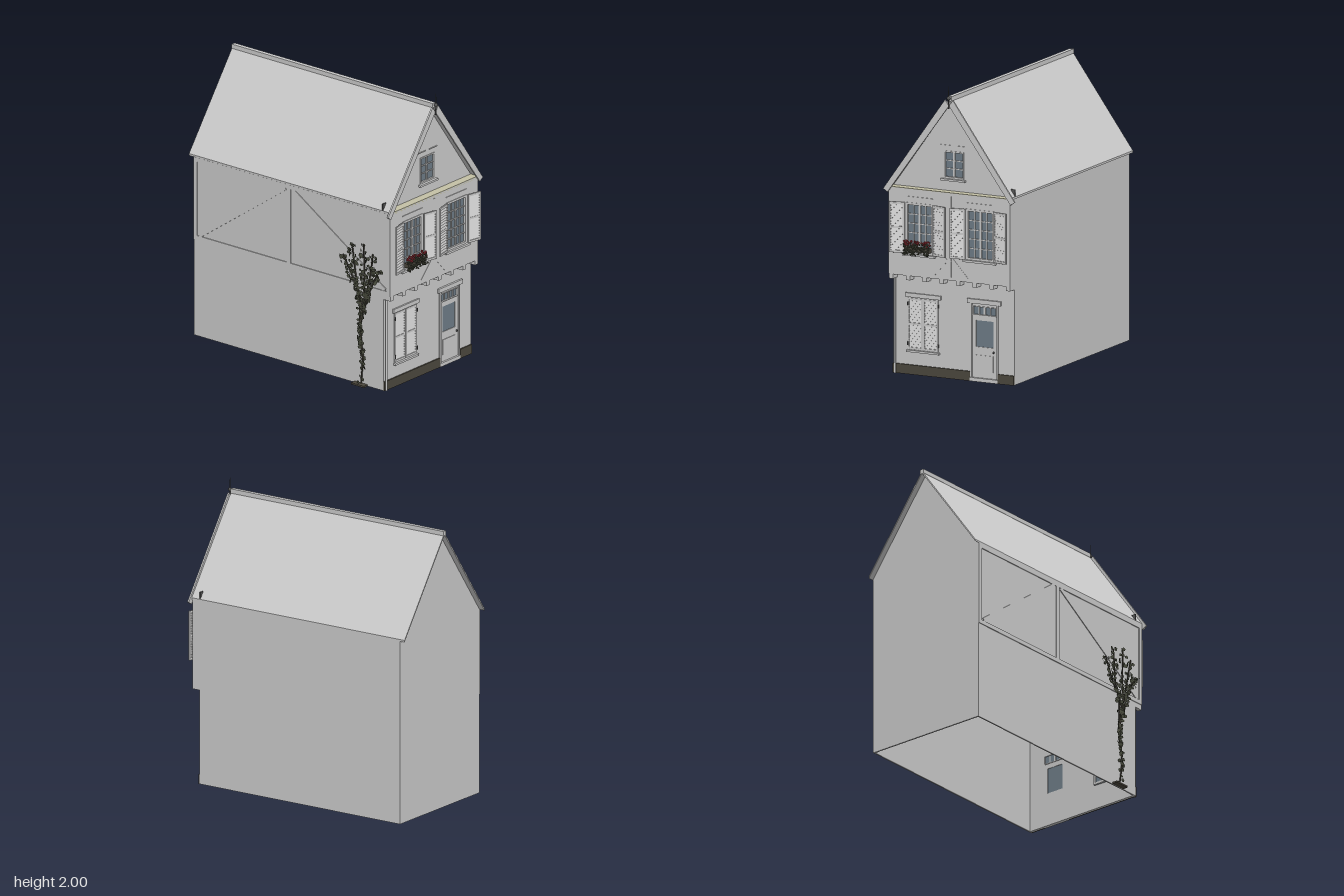
import * as THREE from 'three';

const mat = (color) => new THREE.MeshStandardMaterial({ color, side: THREE.DoubleSide });

export function createModel() {
  const house = new THREE.Group();
  house.name = 'house';
  const grey = mat(0xcccccc), glass = mat(0x6f7d88), dark = mat(0x4c483e), ledge = mat(0xc4c1a6);
  const leafMat = mat(0x45483a), red = mat(0x9a3038), iron = mat(0x555555);
  let seed = 7;
  const rnd = (a, b) => a + (b - a) * ((seed = (seed * 16807) % 2147483647) / 2147483647);

  const add = (name, geo, m = grey, parent = house) => {
    const mesh = new THREE.Mesh(geo, m);
    mesh.name = name;
    parent.add(mesh);
    return mesh;
  };
  // box given by its limits on each axis
  const slab = (name, x0, x1, y0, y1, z0, z1, m, parent) => {
    const mesh = add(name, new THREE.BoxGeometry(x1 - x0, y1 - y0, z1 - z0), m, parent);
    mesh.position.set((x0 + x1) / 2, (y0 + y1) / 2, (z0 + z1) / 2);
    return mesh;
  };
  const poly = (pts) => new THREE.Shape(pts.map(([x, y]) => new THREE.Vector2(x, y)));
  // flat outline with rectangular holes, extruded from z0 to z1
  const plate = (name, pts, holes, z0, z1, m) => {
    const shape = poly(pts);
    for (const [x0, x1, y0, y1] of holes) shape.holes.push(poly([[x0, y0], [x0, y1], [x1, y1], [x1, y0]]));
    const mesh = add(name, new THREE.ExtrudeGeometry(shape, { depth: z1 - z0, bevelEnabled: false }), m);
    mesh.position.z = z0;
    return mesh;
  };
  const rect = (x0, x1, y0, y1) => [[x0, y0], [x1, y0], [x1, y1], [x0, y1]];

  const W = 0.455, LOW = 0.775, UP = 0.835, BACK = -0.86, EAVE = 1.272, APEX = 1.9;
  const upperWins = [[-0.33, -0.125, 0.835, 1.18], [0.125, 0.335, 0.835, 1.18]];
  const gableWin = [-0.075, 0.075, 1.36, 1.545];
  const shutWin = [-0.345, -0.115, 0.17, 0.52];
  const doorway = [0.125, 0.335, 0.02, 0.53];

  // Walls, open underneath
  plate('groundFloorFront', rect(-W, W, 0, 0.69), [shutWin, doorway], LOW - 0.015, LOW);
  plate('upperFloorFront', rect(-W, W, 0.68, EAVE), upperWins, UP - 0.015, UP);
  plate('frontGable', [[-W, EAVE], [W, EAVE], [0, APEX]], [gableWin], LOW - 0.015, LOW);
  plate('backWall', [[-W, 0], [W, 0], [W, EAVE], [0, APEX], [-W, EAVE]], [], BACK, BACK + 0.01);
  const sidePts = [[BACK, 0], [LOW, 0], [LOW, 0.65], [UP, 0.65], [UP, EAVE], [BACK, EAVE]];
  for (const s of [1, -1]) {
    const wall = plate(s > 0 ? 'leftWall' : 'rightWall', sidePts, [], 0, 0.01);
    wall.rotation.y = -Math.PI / 2;
    wall.position.x = s > 0 ? W : -W + 0.01;
  }
  slab('jettySoffit', -W, W, 0.68, 0.69, LOW - 0.01, UP - 0.01);
  slab('gableLedge', -W, W, EAVE - 0.012, EAVE + 0.004, LOW - 0.01, UP, ledge);

  // Joist ends below the overhanging floor
  for (let i = 0; i < 8; i++) {
    const x = -0.44 + i * 0.1257;
    slab('joistEnd', x - 0.015, x + 0.015, 0.65, 0.69, LOW, UP);
  }

  // Roof, ridge and gable boards
  plate('roof', [[-0.46, 1.268], [0, 1.903], [0.46, 1.268], [0.46, 1.282], [0, 1.918], [-0.46, 1.282]], [], -0.9, UP);
  slab('ridgeCap', -0.015, 0.015, 1.9, 1.93, -0.9, UP);
  for (const s of [-1, 1]) {
    plate('bargeboard', [[s * 0.495, 1.259], [s * 0.03, 1.907], [0, 1.868], [s * 0.463, 1.238]], [], UP, 0.847);
    const hook = slab('eaveBracket', -0.017, 0.017, 1.28, 1.33, 0.766, 0.774, iron);
    hook.position.x = s * 0.443;
  }
  const spike = add('finialSpike', new THREE.CylinderGeometry(0.002, 0.005, 0.15, 8), iron);
  spike.position.set(0, 1.925, 0.85);
  add('finialBall', new THREE.SphereGeometry(0.013, 12, 8), iron).position.set(0, 1.92, 0.85);

  // Glazed window with frame and bars, front of the frame at z
  const win = (name, [x0, x1, y0, y1], z, cols, rows, f = 0.015) => {
    const g = new THREE.Group();
    g.name = name;
    house.add(g);
    slab('glass', x0, x1, y0, y1, z - 0.014, z - 0.01, glass, g);
    for (const [a, b] of [[x0, x0 + f], [x1 - f, x1]]) slab('jamb', a, b, y0, y1, z - 0.02, z + 0.004, grey, g);
    for (const [a, b] of [[y0, y0 + f], [y1 - f, y1]]) slab('rail', x0, x1, a, b, z - 0.02, z + 0.004, grey, g);
    for (let i = 1; i < cols; i++) {
      const x = x0 + f + ((x1 - x0 - 2 * f) * i) / cols, w = i * 2 === cols ? 0.007 : 0.003;
      slab('uprightBar', x - w, x + w, y0, y1, z - 0.016, z - 0.002, grey, g);
    }
    for (let i = 1; i < rows; i++) {
      const y = y0 + f + ((y1 - y0 - 2 * f) * i) / rows;
      slab('crossBar', x0, x1, y - 0.003, y + 0.003, z - 0.016, z - 0.002, grey, g);
    }
  };
  win('gableWindow', gableWin, LOW, 2, 3, 0.01);
  slab('gableSill', -0.092, 0.092, 1.344, 1.357, LOW, LOW + 0.02);
  for (const s of [-1, 1]) slab('gableDripMould', s * 0.06 - 0.04, s * 0.06 + 0.04, 1.58, 1.585, LOW, LOW + 0.006);
  win('shutteredWindow', shutWin, LOW - 0.01, 4, 5);

  // Louvred shutter leaf, hinged at x = 0 and reaching along dir
  const shutter = (x, y0, y1, z, w, dir, angle) => {
    const g = new THREE.Group();
    g.name = 'shutter';
    g.position.set(x, 0, z);
    g.rotation.y = -dir * angle;
    house.add(g);
    const at = (name, a, b, c, d, t) => slab(name, Math.min(dir * a, dir * b), Math.max(dir * a, dir * b), c, d, -t, t, grey, g);
    at('stile', 0, 0.012, y0, y1, 0.005);
    at('stile', w - 0.012, w, y0, y1, 0.005);
    for (const y of [y0, (y0 + y1) / 2 - 0.007, y1 - 0.014]) at('shutterRail', 0, w, y, y + 0.014, 0.005);
    const n = Math.round((y1 - y0) / 0.018);
    for (let i = 0; i < n; i++) {
      const y = y0 + ((i + 0.5) * (y1 - y0)) / n;
      at('slat', 0.01, w - 0.01, y - 0.011, y + 0.011, 0.0015).rotation.x = -0.35;
    }
  };
  upperWins.forEach((w, i) => {
    win('upperWindow', w, UP, 4, 5);
    slab('upperSill', w[0] - 0.018, w[1] + 0.018, 0.82, 0.835, UP, UP + 0.02);
    slab('upperDripMould', w[0], w[1], 1.217, 1.222, UP, UP + 0.005);
    shutter(w[0] - 0.003, 0.838, 1.18, 0.847, 0.107, -1, 0.2);
    shutter(w[1] + 0.003, 0.838, 1.18, 0.847, 0.107, 1, 0.2);
  });
  shutter(-0.345, 0.17, 0.52, LOW + 0.001, 0.114, 1, 0);
  shutter(-0.115, 0.17, 0.52, LOW + 0.001, 0.114, -1, 0);
  for (const x of [-0.342, -0.115]) for (const y of [0.21, 0.48]) slab('hinge', x - 0.003, x + 0.003, y - 0.012, y + 0.012, LOW, LOW + 0.012, iron);
  slab('lowerLintel', -0.362, -0.095, 0.525, 0.553, LOW, LOW + 0.012);
  slab('lowerSill', -0.352, -0.105, 0.152, 0.166, LOW, LOW + 0.018);

  // Door with transom light
  plate('door', rect(0.125, 0.335, 0.02, 0.53), [[0.165, 0.295, 0.235, 0.415], [0.14, 0.32, 0.45, 0.512]], LOW - 0.015, LOW - 0.003);
  slab('doorGlass', 0.165, 0.295, 0.235, 0.415, LOW - 0.012, LOW - 0.008, glass);
  win('transomLight', [0.14, 0.32, 0.45, 0.512], LOW, 4, 1, 0.005);
  for (const x of [0.125, 0.323]) slab('doorJamb', x, x + 0.012, 0.02, 0.53, LOW - 0.015, LOW + 0.008);
  slab('doorPanel', 0.165, 0.295, 0.07, 0.18, LOW - 0.006, LOW + 0.001);
  slab('doorLintel', 0.105, 0.357, 0.53, 0.56, LOW, LOW + 0.015);
  slab('doorStep', 0.125, 0.335, 0, 0.025, LOW - 0.015, LOW + 0.012);
  add('doorKnob', new THREE.SphereGeometry(0.007, 10, 8), iron).position.set(0.302, 0.208, LOW + 0.006);

  // Plinth and downpipe
  slab('plinth', -W, 0.125, 0, 0.065, LOW, LOW + 0.01, dark);
  slab('plinth', 0.335, W, 0, 0.065, LOW, LOW + 0.01, dark);
  add('downpipe', new THREE.CylinderGeometry(0.007, 0.007, 0.65, 10)).position.set(-0.438, 0.325, LOW + 0.012);

  // Timber beam between two points on a wall
  const beam = (name, a, b, w, d) => {
    const p = new THREE.Vector3(...a), q = new THREE.Vector3(...b);
    const mesh = add(name, new THREE.BoxGeometry(w, d, p.distanceTo(q)));
    mesh.position.copy(p).lerp(q, 0.5);
    if (p.x !== q.x || a[0] > -0.4) mesh.up.set(0, 0, 1);
    else mesh.up.set(1, 0, 0);
    mesh.lookAt(q);
  };
  const X = -W - 0.001;
  for (const y of [0.7, 1.255]) beam('sideRail', [X, y, BACK], [X, y, UP], 0.03, 0.01);
  for (const z of [BACK + 0.015, -0.04, UP - 0.015]) beam('sidePost', [X, 0.7, z], [X, 1.255, z], 0.03, 0.01);
  beam('sideBrace', [X, 0.72, -0.81], [X, 1.24, -0.07], 0.03, 0.009);
  beam('sideBrace', [X, 1.24, -0.01], [X, 0.72, 0.79], 0.03, 0.009);
  beam('kingPost', [0, 1.59, LOW], [0, 1.85, LOW], 0.025, 0.004);
  beam('frontPost', [0, 0.7, UP], [0, 1.25, UP], 0.025, 0.004);
  for (const s of [-1, 1]) beam('frontBrace', [s * 0.02, 0.82, UP], [s * 0.13, 0.7, UP], 0.022, 0.004);

  // Flower box
  slab('flowerBox', -0.32, -0.135, 0.855, 0.885, UP + 0.006, 0.88, dark);
  for (let i = 0; i < 130; i++) {
    const bloom = i % 3 === 0;
    const f = add(bloom ? 'flower' : 'foliage', new THREE.IcosahedronGeometry(rnd(0.006, 0.01), 0), bloom ? red : leafMat);
    f.position.set(rnd(-0.325, -0.13), bloom ? rnd(0.9, 0.93) : rnd(0.835, 0.92), rnd(bloom ? 0.85 : 0.868, 0.892));
  }

  // Climbing plant on the right wall
  const vine = new THREE.Group();
  vine.name = 'climbingPlant';
  house.add(vine);
  slab('plantBed', -0.498, -0.457, 0, 0.012, 0.53, 0.64, dark, vine);
  for (const [zMid, zEnd, top] of [[0.6, 0.44, 0.9], [0.58, 0.52, 0.98], [0.62, 0.62, 1.01], [0.62, 0.7, 0.96], [0.64, 0.75, 0.85]]) {
    const curve = new THREE.CatmullRomCurve3([[0, 0.59], [0.2, 0.61], [0.4, 0.585], [0.6, zMid], [0.75, (zMid + zEnd) / 2], [top, zEnd]]
      .map(([y, z], i) => new THREE.Vector3(-0.468 - (i % 2) * 0.006, y, z)));
    add('stem', new THREE.TubeGeometry(curve, 30, 0.005, 6), dark, vine);
    for (let i = 0; i < 70; i++) {
      const t = Math.sqrt(rnd(0, 1)), p = curve.getPoint(t), spread = t > 0.6 ? 0.035 : 0.018;
      const leaf = add('leaf', new THREE.CircleGeometry(rnd(0.009, 0.015), 5), leafMat, vine);
      leaf.position.set(rnd(-0.485, -0.468), Math.max(0.02, p.y + rnd(-0.02, 0.02)), p.z + rnd(-spread, spread));
      leaf.rotation.set(rnd(-0.6, 0.6), -Math.PI / 2 + rnd(-0.7, 0.7), rnd(0, 6));
    }
  }
  return house;
}
